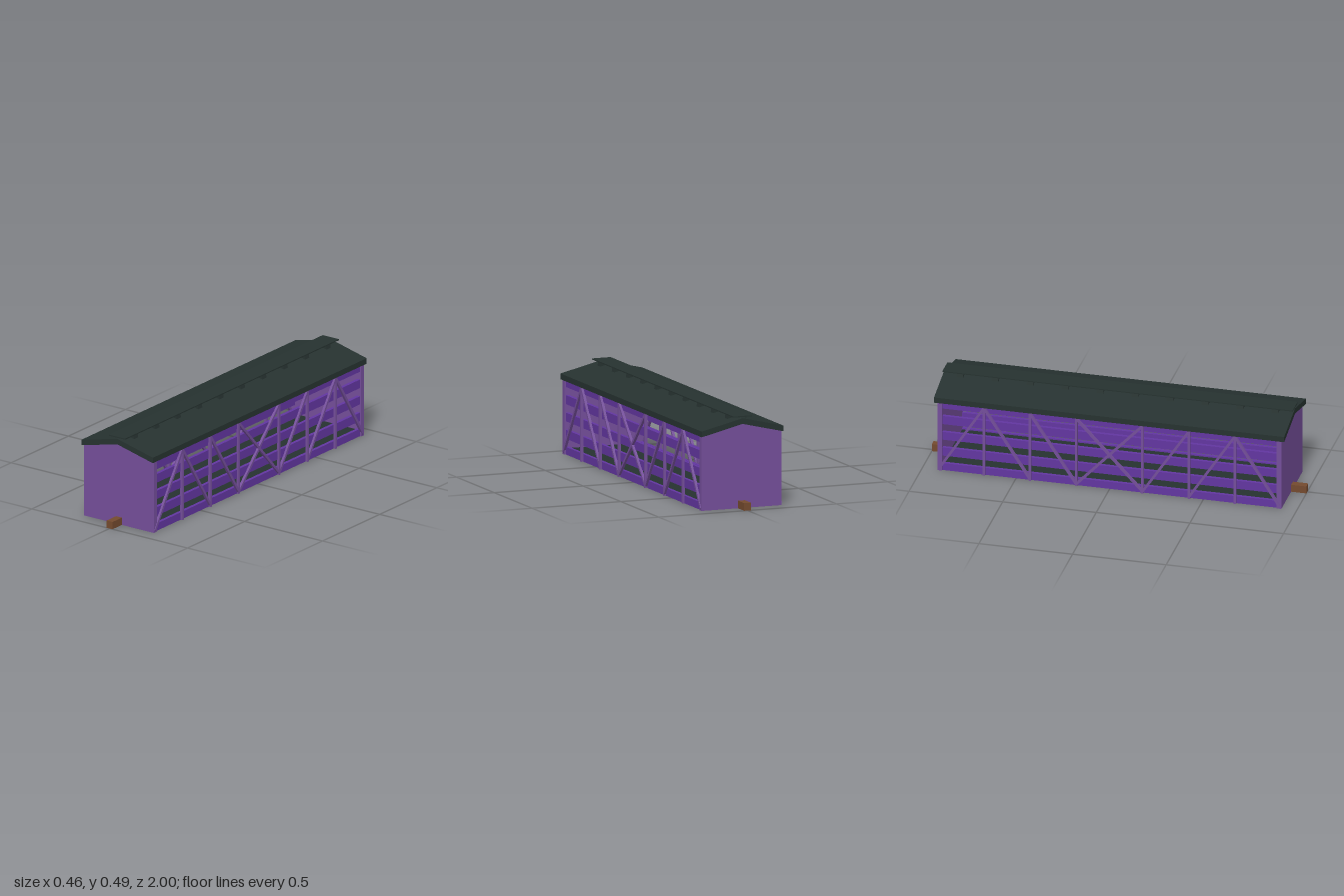
import * as THREE from 'three';

const paint = (name, color) => {
  const m = new THREE.MeshStandardMaterial({ color });
  m.name = name;
  return m;
};

export function createModel() {
  const car = new THREE.Group();
  car.name = 'stockCar';
  const wallPurple = paint('dusty purple', 0x744e9a);
  const slatPurple = paint('deep purple', 0x6236a0);
  const roofGreen = paint('dark green black', 0x263230);
  const brown = paint('coupler brown', 0x744a2e);

  const add = (name, geometry, material, x = 0, y = 0, z = 0) => {
    const mesh = new THREE.Mesh(geometry, material);
    mesh.name = name;
    mesh.position.set(x, y, z);
    car.add(mesh);
    return mesh;
  };
  const box = (name, w, h, d, material, x, y, z) =>
    add(name, new THREE.BoxGeometry(w, h, d), material, x, y, z);
  // Prism along z from a front outline, centred on z
  const prism = (name, points, depth, material, z) => {
    const shape = new THREE.Shape(points.map(([x, y]) => new THREE.Vector2(x, y)));
    const geometry = new THREE.ExtrudeGeometry(shape, { depth, bevelEnabled: false });
    geometry.translate(0, 0, -depth / 2);
    return add(name, geometry, material, 0, 0, z);
  };

  // Floor
  box('floor', 0.41, 0.03, 1.8, roofGreen, 0, 0.018, 0);

  // Gabled end walls and couplers
  for (const s of [1, -1]) {
    prism('endWall', [[-0.225, 0], [0.225, 0], [0.225, 0.393], [0, 0.447], [-0.225, 0.393]],
      0.025, wallPurple, s * 0.906);
    box('coupler', 0.038, 0.04, 0.085, brown, 0, 0.02, s * 0.9575);
  }

  // Side slats: [bottom, top]
  const slats = [[0, 0.04], [0.083, 0.13], [0.175, 0.22], [0.265, 0.312], [0.355, 0.395]];
  // Truss members: [z1, y1, z2, y2], mirrored front to back
  const low = 0.01, high = 0.388;
  const members = [
    [0.67, 0, 0.67, 0.392], [0.425, 0, 0.425, 0.392], [0.177, 0, 0.177, 0.392],
    [0.91, low, 0.67, high], [0.67, high, 0.425, low],
    [0.425, high, 0.177, low], [0.177, high, -0.177, low],
  ];
  for (const side of [1, -1]) {
    for (const [bottom, top] of slats)
      box('sideSlat', 0.018, top - bottom, 1.8, slatPurple, side * 0.208, (bottom + top) / 2, 0);
    for (const end of [1, -1])
      for (const [z1, y1, z2, y2] of members) {
        const dz = end * (z2 - z1), dy = y2 - y1;
        const bar = box(dz ? 'trussDiagonal' : 'trussPost', 0.014, Math.hypot(dz, dy), 0.013,
          wallPurple, side * 0.222, (y1 + y2) / 2, end * (z1 + z2) / 2);
        bar.rotation.x = Math.atan2(dz, dy);
      }
  }

  // Pitched roof
  prism('roof', [[-0.23, 0.39], [0, 0.445], [0.23, 0.39], [0.23, 0.42], [0, 0.475], [-0.23, 0.42]],
    1.87, roofGreen, 0);

  // Roof walk on tapered saddles
  box('roofWalk', 0.104, 0.006, 1.87, roofGreen, 0, 0.484, 0);
  for (let i = 0; i < 10; i++)
    prism('roofWalkSaddle', [[-0.054, 0.46], [0.054, 0.46], [0.05, 0.482], [-0.05, 0.482]],
      0.036, roofGreen, -0.842 + i * 0.187);

  return car;
}
